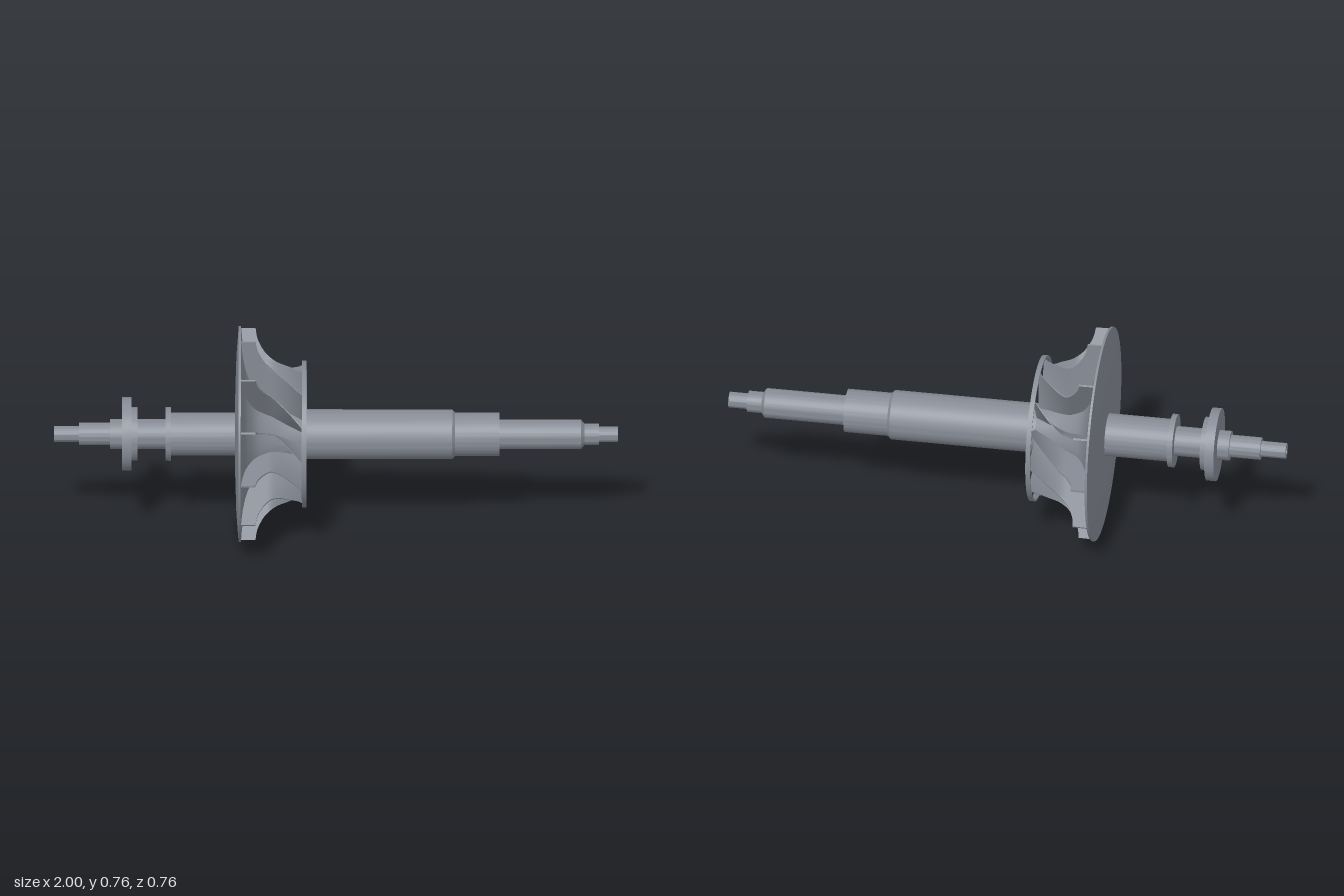
import * as THREE from 'three';
import { toCreasedNormals } from 'three/addons/utils/BufferGeometryUtils.js';

const AXIS_Y = 0.382;
const material = new THREE.MeshStandardMaterial({ color: 0x878c96 });

// Solid of revolution about the x axis, from [x, radius] points
function turned(name, points, segments = 72) {
  const geo = new THREE.LatheGeometry(points.map(([x, r]) => new THREE.Vector2(r, x)), segments);
  geo.rotateZ(-Math.PI / 2);
  const mesh = new THREE.Mesh(toCreasedNormals(geo, 0.5), material);
  mesh.name = name;
  return mesh;
}

const curve = (points) => new THREE.SplineCurve(points.map(([x, r]) => new THREE.Vector2(x, r)));

// Meridional curves of the wheel, from the rim to the inlet
const hub = curve([[-0.336, 0.376], [-0.329, 0.31], [-0.312, 0.235], [-0.275, 0.165], [-0.2, 0.115], [-0.11, 0.088]]);
const shroud = curve([[-0.285, 0.375], [-0.277, 0.335], [-0.25, 0.288], [-0.21, 0.256], [-0.165, 0.244], [-0.13, 0.242], [-0.11, 0.254]]);

// Blade: radial at the rim, twisting about the axis and thinning towards the inlet
function bladeGeometry() {
  const NU = 36, NV = 8, loop = 2 * (NV + 1);
  const pos = [], index = [];
  for (let i = 0; i <= NU; i++) {
    const h = hub.getPoint(i / NU), s = shroud.getPoint(i / NU);
    const half = THREE.MathUtils.lerp(0.0035, 0.0016, i / NU);
    for (let j = 0; j < loop; j++) {
      const front = j <= NV;
      const k = front ? j : loop - 1 - j;
      const p = h.clone().lerp(s, -0.04 + 1.04 * k / NV);
      const t = THREE.MathUtils.clamp((p.x + 0.235) / 0.125, 0, 1);
      const a = THREE.MathUtils.degToRad(0.8 + 29 * Math.pow(t, 1.35));
      const d = front ? half : -half;
      pos.push(p.x, p.y * Math.cos(a) - d * Math.sin(a), p.y * Math.sin(a) + d * Math.cos(a));
    }
  }
  const quad = (a, b, c, d) => index.push(a, b, c, a, c, d);
  for (let i = 0; i < NU; i++) {
    for (let j = 0; j < loop; j++) {
      const n = (j + 1) % loop, r0 = i * loop, r1 = r0 + loop;
      quad(r0 + j, r1 + j, r1 + n, r0 + n);
    }
  }
  // Trailing and leading edge caps
  const end = NU * loop;
  for (let j = 0; j < NV; j++) {
    const m = loop - 1 - j;
    quad(j, j + 1, m - 1, m);
    quad(end + m, end + m - 1, end + j + 1, end + j);
  }
  const geo = new THREE.BufferGeometry();
  geo.setAttribute('position', new THREE.Float32BufferAttribute(pos, 3));
  geo.setIndex(index);
  return toCreasedNormals(geo, 0.6);
}

export function createModel() {
  const model = new THREE.Group();
  model.name = 'impellerShaft';
  const rotor = new THREE.Group();
  rotor.name = 'rotor';
  rotor.position.y = AXIS_Y;
  model.add(rotor);

  // Stepped shaft with a centre bore in each end
  rotor.add(turned('shaft', [
    [-0.97, 0], [-0.98, 0.01], [-1, 0.012], [-1, 0.028], [-0.91, 0.028],
    [-0.91, 0.04], [-0.8, 0.04], [-0.8, 0.053],
    [-0.59, 0.053], [-0.59, 0.076], [-0.3, 0.076],
    [-0.3, 0.088], [0.412, 0.088], [0.422, 0.077],
    [0.579, 0.077], [0.579, 0.053], [0.868, 0.053], [0.88, 0.038],
    [0.932, 0.038], [0.932, 0.028], [1, 0.028], [1, 0.012], [0.98, 0.01], [0.97, 0],
  ]));
  rotor.add(turned('thrustFlange', [
    [-0.758, 0.04], [-0.758, 0.13], [-0.725, 0.13], [-0.725, 0.095], [-0.703, 0.095], [-0.703, 0.04],
  ]));
  rotor.add(turned('collar', [[-0.604, 0.04], [-0.604, 0.095], [-0.585, 0.095], [-0.585, 0.04]]));

  // Wheel: slightly dished back and flared hub
  rotor.add(turned('wheelHub', [
    [-0.358, 0.06], [-0.357, 0.15], [-0.353, 0.28], [-0.345, 0.382], [-0.337, 0.382],
    ...hub.getPoints(32).map((p) => [p.x, p.y]), [-0.11, 0.06],
  ], 96));

  const blades = new THREE.Group();
  blades.name = 'blades';
  const geo = bladeGeometry();
  for (let i = 0; i < 12; i++) {
    const blade = new THREE.Mesh(geo, material);
    blade.name = 'blade';
    blade.rotation.x = i * Math.PI / 6;
    blades.add(blade);
  }
  rotor.add(blades);

  // Thin ring around the inlet
  rotor.add(turned('inletRing', [
    [-0.121, 0.253], [-0.121, 0.26], [-0.104, 0.26], [-0.104, 0.253], [-0.121, 0.253],
  ], 96));

  return model;
}
